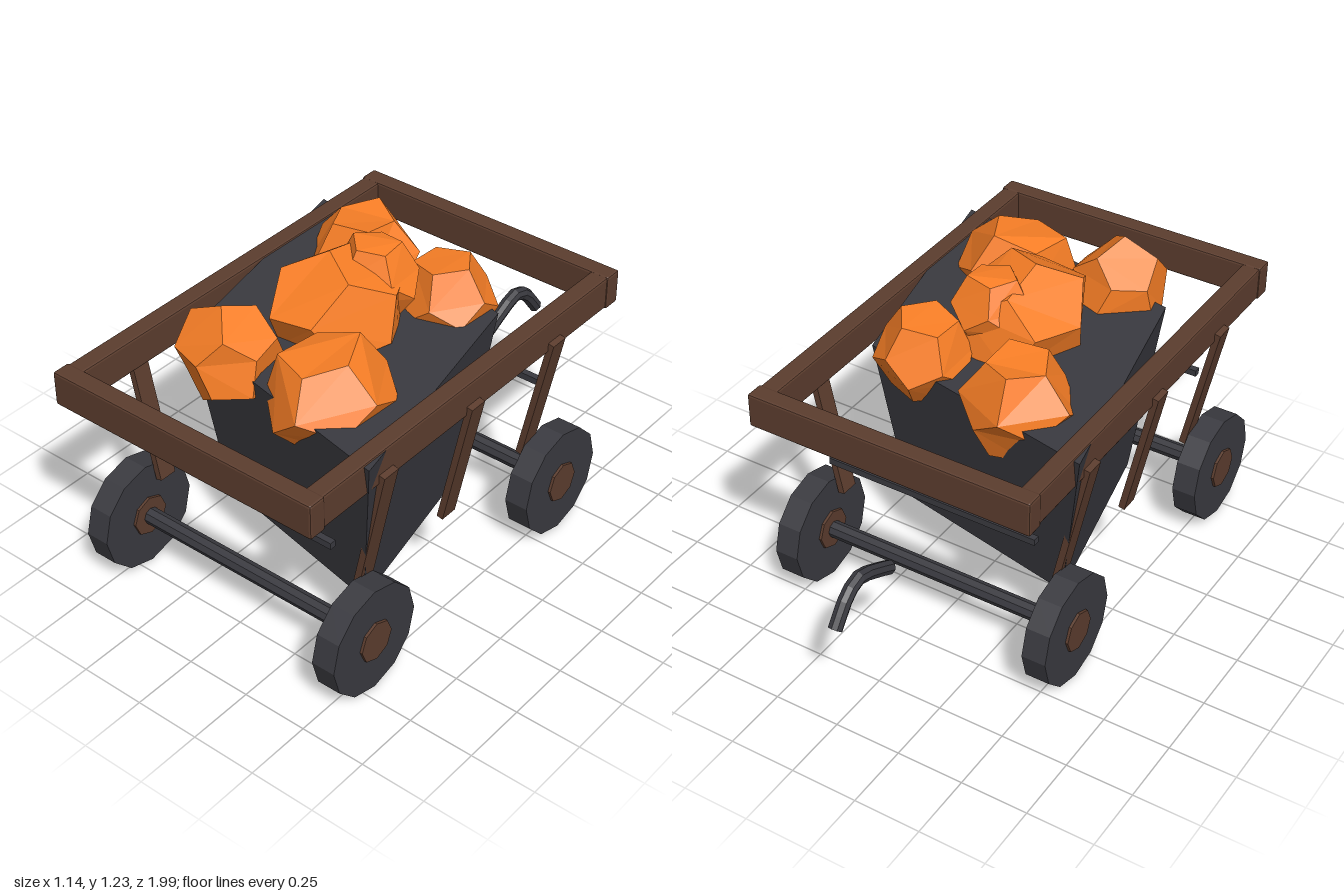
import * as THREE from 'three';
import { RoundedBoxGeometry } from 'three/addons/geometries/RoundedBoxGeometry.js';

const flat = (color) => new THREE.MeshStandardMaterial({ color, flatShading: true });

// Faceted boulder: a rotated dodecahedron with nudged corners, fitted to a given box
function rockGeometry(size, turn, seed) {
  const geo = new THREE.DodecahedronGeometry(1);
  const pos = geo.attributes.position;
  const v = new THREE.Vector3();
  for (let i = 0; i < pos.count; i++) {
    v.fromBufferAttribute(pos, i);
    // the nudge depends on position only, so shared corners stay together
    const n = Math.sin(v.x * 5.1 + seed) + Math.sin(v.y * 4.3 + seed * 2) + Math.sin(v.z * 6.7 + seed * 3);
    v.multiplyScalar(1 + 0.035 * n);
    pos.setXYZ(i, v.x, v.y, v.z);
  }
  geo.rotateX(turn[0]).rotateY(turn[1]).rotateZ(turn[2]);
  geo.center();
  const box = geo.boundingBox.getSize(new THREE.Vector3());
  geo.scale(size[0] / box.x, size[1] / box.y, size[2] / box.z);
  return geo;
}

export function createModel() {
  const cart = new THREE.Group();
  cart.name = 'mineCart';
  const wood = flat(0x5c3d2e);
  const metal = flat(0x3a3a40);
  const ore = flat(0xf97f26);

  const add = (name, geo, mat, x, y, z) => {
    const mesh = new THREE.Mesh(geo, mat);
    mesh.name = name;
    mesh.position.set(x, y, z);
    cart.add(mesh);
    return mesh;
  };
  const sidewaysCylinder = (r, length, sides) =>
    new THREE.CylinderGeometry(r, r, length, sides).rotateZ(Math.PI / 2);

  // Tapered bin with a diamond-shaped plan
  const binGeo = new THREE.CylinderGeometry(1, 0.785, 0.68, 4);
  binGeo.scale(0.525, 1, 0.805).rotateY(Math.PI / 4);
  add('bin', binGeo, metal, 0, 0.61, 0.17);

  // Wooden rim: two long side rails, two end rails
  const sideRail = new RoundedBoxGeometry(0.07, 0.125, 1.66, 1, 0.008);
  const endRail = new RoundedBoxGeometry(1.1, 0.13, 0.07, 1, 0.008);
  for (const s of [-1, 1]) add('sideRail', sideRail, wood, s * 0.51, 0.895, 0.165);
  add('frontRail', endRail, wood, 0, 0.895, 0.96);
  add('backRail', endRail, wood, 0, 0.895, -0.635);

  // Sloping slats along both sides
  const slat = new THREE.BoxGeometry(0.025, 0.53, 0.07);
  for (const s of [-1, 1]) {
    for (const z of [0.625, 0.17, -0.29]) {
      add('slat', slat, wood, s * 0.5, 0.61, z).rotation.z = -s * 0.21;
    }
  }

  // Axles with wheels and wooden hubs
  const wheel = sidewaysCylinder(0.21, 0.092, 12);
  const hub = sidewaysCylinder(0.077, 0.112, 8);
  const axle = sidewaysCylinder(0.032, 0.94, 8);
  for (const z of [0.7, -0.365]) {
    add('axle', axle, metal, 0, 0.21, z);
    for (const s of [-1, 1]) {
      add('wheel', wheel, metal, s * 0.513, 0.21, z);
      add('hub', hub, wood, s * 0.513, 0.21, z);
    }
  }

  // Thin cross bars in front of and behind the bin
  const bar = new THREE.BoxGeometry(0.835, 0.025, 0.025);
  for (const z of [0.737, -0.405]) add('crossBar', bar, metal, 0, 0.57, z);

  // Bent pull handle with closed ends
  const path = new THREE.CatmullRomCurve3([
    [0.455, -0.665], [0.5, -0.75], [0.535, -0.84], [0.51, -0.9], [0.415, -0.978],
  ].map(([y, z]) => new THREE.Vector3(0, y, z)));
  add('handle', new THREE.TubeGeometry(path, 8, 0.026, 8), metal, 0, 0, 0);
  for (const t of [0, 1]) {
    const p = path.getPoint(t);
    const cap = add('handleEnd', new THREE.CircleGeometry(0.026, 8), metal, p.x, p.y, p.z);
    const outward = path.getTangent(t).multiplyScalar(t ? 1 : -1);
    cap.quaternion.setFromUnitVectors(new THREE.Vector3(0, 0, 1), outward);
  }

  // Load of ore: centre, size, rotation
  const rocks = [
    [[-0.23, 0.935, -0.205], [0.4, 0.36, 0.4], [0.55, 0.2, 0]],
    [[0.18, 0.96, -0.16], [0.34, 0.31, 0.32], [0.55, 0.9, 0.1]],
    [[-0.025, 0.99, 0.17], [0.46, 0.46, 0.51], [0.3, 0.5, 0.6]],
    [[0.04, 1.09, 0.04], [0.3, 0.27, 0.26], [0.55, 0.4, 0]],
    [[-0.175, 0.97, 0.545], [0.33, 0.38, 0.35], [0.2, 0.1, 0.4]],
    [[0.22, 0.942, 0.49], [0.42, 0.375, 0.46], [0.7, 0.8, 0.3]],
  ];
  rocks.forEach(([c, size, turn], i) => add('oreRock', rockGeometry(size, turn, i + 1), ore, ...c));

  return cart;
}
